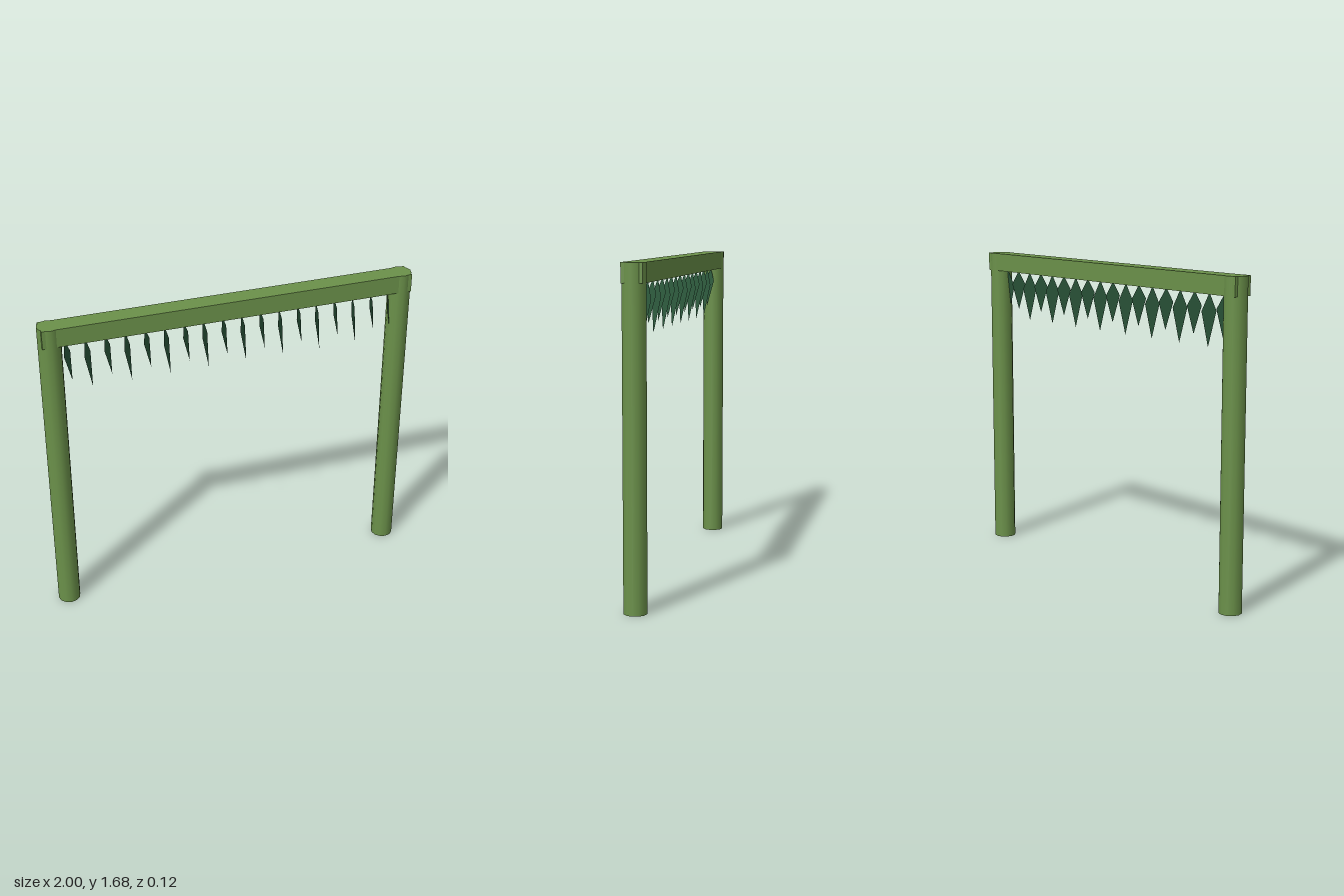
import * as THREE from 'three';

const wood = new THREE.MeshStandardMaterial({ color: 0x6b914a });
wood.name = 'mossGreen';
const leafGreen = new THREE.MeshStandardMaterial({ color: 0x2d5a3d, side: THREE.DoubleSide });
leafGreen.name = 'darkLeafGreen';

// Kite-shaped leaf hanging from the origin, turned about y and leaning outward
function leafGeometry(length) {
  const halfWidth = 0.037, widest = -length * 0.34, lean = 0.03;
  const shape = new THREE.Shape([
    new THREE.Vector2(0, 0),
    new THREE.Vector2(-halfWidth, widest),
    new THREE.Vector2(0, -length),
    new THREE.Vector2(halfWidth, widest),
  ]);
  const geometry = new THREE.ShapeGeometry(shape);
  const p = geometry.attributes.position;
  for (let i = 0; i < p.count; i++) p.setZ(i, (-p.getY(i) / length) * lean);
  geometry.rotateY(0.93);
  geometry.computeVertexNormals();
  return geometry;
}

export function createModel() {
  const model = new THREE.Group();
  model.name = 'hangingLeafArch';

  // Two round posts
  const postGeometry = new THREE.CylinderGeometry(0.06, 0.06, 1.685, 12);
  postGeometry.rotateY(Math.PI / 2);
  for (const side of [-1, 1]) {
    const post = new THREE.Mesh(postGeometry, wood);
    post.name = side > 0 ? 'leftPost' : 'rightPost';
    post.position.set(side * 0.94, 0.8425, 0);
    model.add(post);
  }

  // Square crossbeam flush with the post tops
  const beam = new THREE.Mesh(new THREE.BoxGeometry(1.972, 0.098, 0.106), wood);
  beam.name = 'crossbeam';
  beam.position.y = 1.636;
  model.add(beam);

  // Row of alternating short and long leaves
  const leaves = new THREE.Group();
  leaves.name = 'leaves';
  const lengths = [leafGeometry(0.22), leafGeometry(0.275)];
  for (let i = 0; i < 18; i++) {
    const leaf = new THREE.Mesh(lengths[i % 2], leafGreen);
    leaf.name = 'leaf';
    leaf.position.set(-0.865 + i * 0.1025, 1.59, 0);
    leaves.add(leaf);
  }
  model.add(leaves);
  return model;
}
